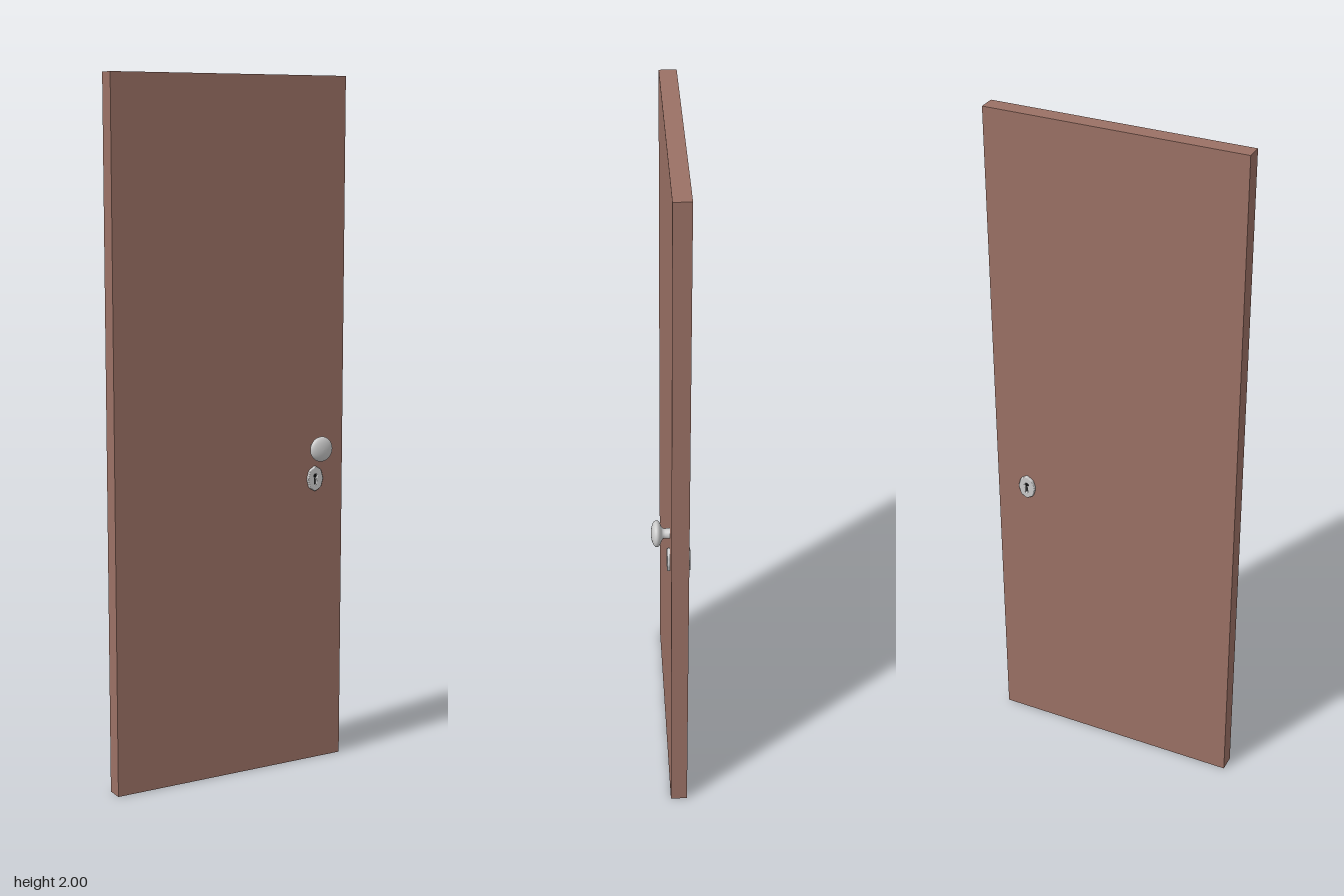
import * as THREE from 'three';

const DOOR = { w: 0.74, h: 2, d: 0.048 };
const LOCK_X = 0.275;

// Keyhole outline: round top with a flared slot below
function keyhole(PathType) {
  const p = new PathType();
  p.moveTo(-0.006, -0.019);
  p.lineTo(-0.004, 0.001);
  p.absarc(0, 0.008, 0.0085, -Math.PI * 0.66, -Math.PI * 0.34, true);
  p.lineTo(0.006, -0.019);
  p.closePath();
  return p;
}

// Bevelled oval plate with a gently lobed rim and a dark keyhole, lying on z = 0
function keyPlate(metal, dark) {
  const group = new THREE.Group();
  const points = [];
  for (let i = 0; i < 64; i++) {
    const a = (i / 64) * Math.PI * 2;
    const r = 1 + 0.03 * Math.cos(8 * a);
    points.push(new THREE.Vector2(0.0225 * r * Math.cos(a), 0.0325 * r * Math.sin(a)));
  }
  const outline = new THREE.Shape(points);
  outline.holes.push(keyhole(THREE.Path));
  const plate = new THREE.Mesh(new THREE.ExtrudeGeometry(outline, {
    depth: 0.004, bevelEnabled: true, bevelThickness: 0.004, bevelSize: 0.003,
    bevelSegments: 4, curveSegments: 16,
  }), metal);
  plate.name = 'keyPlate';

  const hole = new THREE.Mesh(new THREE.ShapeGeometry(keyhole(THREE.Shape), 16), dark);
  hole.name = 'keyhole';
  hole.position.z = 0.003;
  group.add(plate, hole);
  return group;
}

export function createModel() {
  const model = new THREE.Group();
  model.name = 'door';
  const wood = new THREE.MeshStandardMaterial({ color: 0x9b7165 });
  const metal = new THREE.MeshStandardMaterial({ color: 0xcccccc });
  const dark = new THREE.MeshStandardMaterial({ color: 0x111111 });

  // Flat door leaf, its front face on z = 0
  const leaf = new THREE.Mesh(new THREE.BoxGeometry(DOOR.w, DOOR.h, DOOR.d), wood);
  leaf.name = 'doorLeaf';
  leaf.position.set(0, DOOR.h / 2, -DOOR.d / 2);
  model.add(leaf);

  // Knob: stem flaring into a flattened round head, on the front only
  const profile = [[0.015, -0.002], [0.0145, 0.006], [0.0135, 0.013], [0.0145, 0.019], [0.019, 0.0225]];
  for (let i = 0; i <= 14; i++) {
    const a = -0.9 + (i / 14) * (Math.PI / 2 + 0.9);
    profile.push([Math.max(0, 0.0365 * Math.cos(a)), 0.036 + 0.0155 * Math.sin(a)]);
  }
  const knob = new THREE.Mesh(
    new THREE.LatheGeometry(profile.map(([r, y]) => new THREE.Vector2(r, y)), 40), metal);
  knob.name = 'knob';
  knob.rotation.x = Math.PI / 2;
  knob.position.set(LOCK_X, 0.942, 0);
  model.add(knob);

  // Matching key plates on both faces
  for (const front of [true, false]) {
    const plate = keyPlate(metal, dark);
    plate.name = front ? 'frontKeyPlate' : 'backKeyPlate';
    plate.position.set(LOCK_X, 0.85, front ? 0 : -DOOR.d);
    if (!front) plate.rotation.y = Math.PI;
    model.add(plate);
  }
  return model;
}
